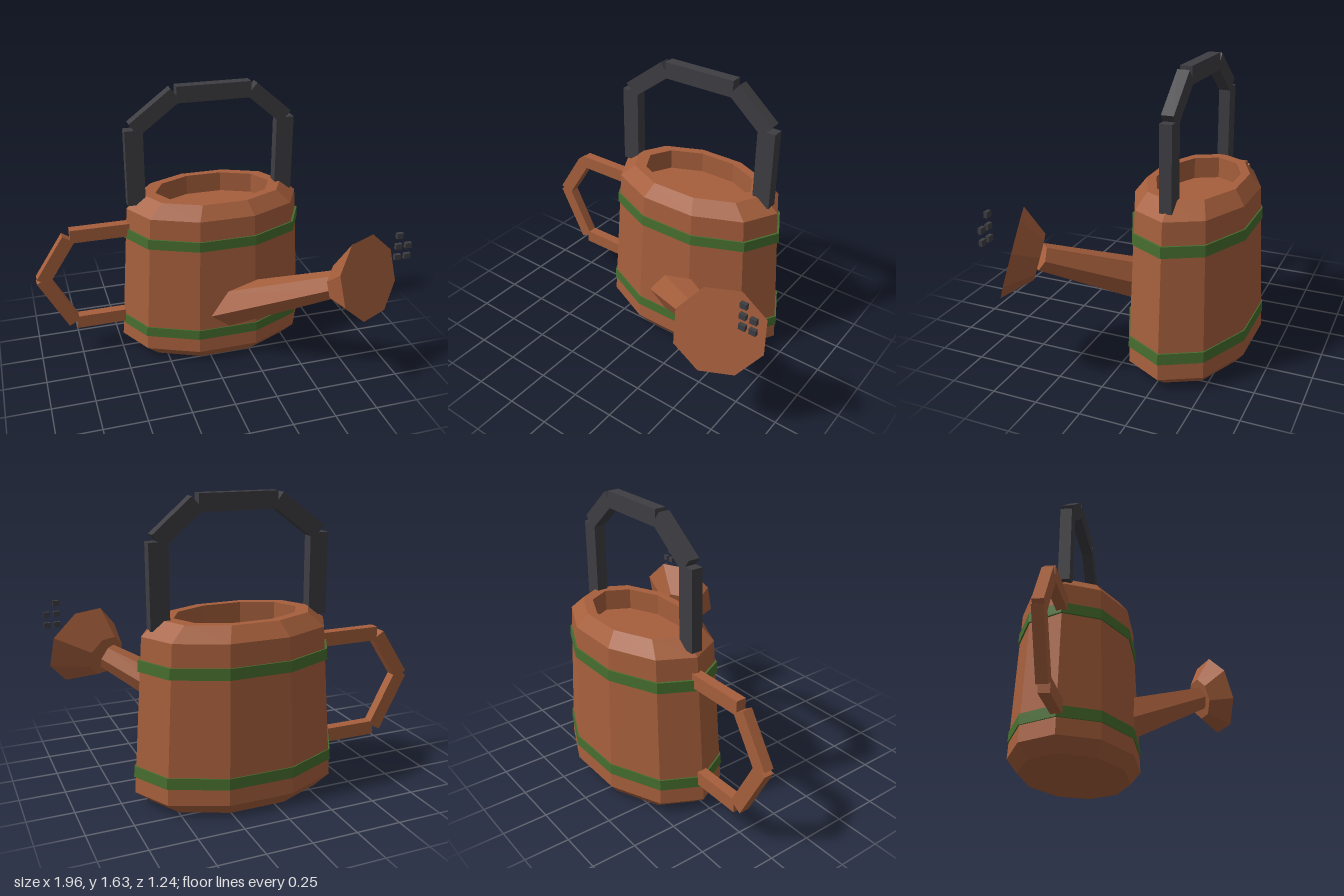
import * as THREE from 'three';

export function createModel() {
  const model = new THREE.Group();
  model.name = 'wateringCan';
  const paint = (name, color) => {
    const m = new THREE.MeshStandardMaterial({ color });
    m.name = name;
    return m;
  };
  const clay = paint('clay', 0xa65f3c);
  const green = paint('green', 0x466d2e);
  const iron = paint('iron', 0x3e3e43);

  // Faceted mesh from any geometry
  const add = (name, geometry, material, parent = model) => {
    const g = geometry.index ? geometry.toNonIndexed() : geometry;
    g.computeVertexNormals();
    const mesh = new THREE.Mesh(g, material);
    mesh.name = name;
    parent.add(mesh);
    return mesh;
  };
  const group = (name) => {
    const g = new THREE.Group();
    g.name = name;
    model.add(g);
    return g;
  };

  // Ten-sided oval turned shape
  const CX = 0.097, CZ = -0.285;
  const oval = (name, profile, material) => {
    const pts = profile.map(([r, y]) => new THREE.Vector2(r, y));
    const g = new THREE.LatheGeometry(pts, 10, Math.PI / 2);
    g.scale(1, 1, 0.61);
    g.translate(CX, 0, CZ);
    return add(name, g, material);
  };

  // Body with sloped shoulder and recessed opening
  oval('body', [[0, 0], [0.495, 0], [0.585, 0.07], [0.525, 0.922], [0.427, 1],
    [0.35, 1], [0.35, 0.88], [0, 0.88]], clay);

  // Painted bands
  const band = (name, y0, y1, r0, r1) =>
    oval(name, [[r0 - 0.03, y0], [r0, y0], [r1, y1], [r1 - 0.03, y1]], green);
  band('lowerBand', 0.16, 0.22, 0.588, 0.584);
  band('upperBand', 0.74, 0.8, 0.551, 0.547);

  // Bar between two points in the plane of the handles
  const bar = (name, x0, y0, x1, y1, thick, depth, material, parent) => {
    const g = new THREE.BoxGeometry(Math.hypot(x1 - x0, y1 - y0), thick, depth);
    g.rotateZ(Math.atan2(y1 - y0, x1 - x0));
    g.translate((x0 + x1) / 2, (y0 + y1) / 2, CZ);
    add(name, g, material, parent);
  };

  // Iron carrying handle
  const carry = group('carryHandle');
  [
    ['post', -0.371, 0.95, -0.371, 1.4, 0.105],
    ['post', 0.528, 0.95, 0.528, 1.4, 0.105],
    ['slope', -0.37, 1.402, -0.127, 1.585, 0.092],
    ['slope', 0.53, 1.402, 0.32, 1.582, 0.092],
    ['topBar', -0.123, 1.583, 0.313, 1.583, 0.094],
  ].forEach(([n, x0, y0, x1, y1, t]) => bar(n, x0, y0, x1, y1, t, 0.065, iron, carry));

  // Side grip
  const grip = group('sideHandle');
  [
    ['upperArm', -0.77, 0.795, -0.42, 0.795],
    ['upperSlope', -0.781, 0.782, -0.95, 0.522],
    ['lowerSlope', -0.783, 0.218, -0.95, 0.535],
    ['lowerArm', -0.77, 0.215, -0.47, 0.215],
  ].forEach(([n, x0, y0, x1, y1]) => bar(n, x0, y0, x1, y1, 0.08, 0.058, clay, grip));

  // Capped loft through rings of [centre, normal, radius]
  const loft = (rings, sides, turn) => {
    const pos = [], idx = [];
    rings.forEach(([c, n, r]) => {
      const axis = new THREE.Vector3(...n).normalize();
      const u = new THREE.Vector3(0, 1, 0).cross(axis).normalize();
      const v = axis.clone().cross(u);
      for (let i = 0; i < sides; i++) {
        const a = ((i + turn) / sides) * Math.PI * 2;
        const p = new THREE.Vector3(...c)
          .addScaledVector(u, r * Math.cos(a))
          .addScaledVector(v, r * Math.sin(a));
        pos.push(p.x, p.y, p.z);
      }
    });
    const last = (rings.length - 1) * sides;
    for (let i = 0; i < sides; i++) {
      const j = (i + 1) % sides;
      for (let k = 0; k < last; k += sides) {
        idx.push(k + i, k + j, k + sides + j, k + i, k + sides + j, k + sides + i);
      }
      if (i > 0 && i < sides - 1) idx.push(0, i + 1, i, last, last + i, last + i + 1);
    }
    const g = new THREE.BufferGeometry();
    g.setAttribute('position', new THREE.Float32BufferAttribute(pos, 3));
    g.setIndex(idx);
    return g;
  };

  // Tapered spout
  const along = [0.71, 0.41, 0.57];
  add('spout', loft([
    [[0.05, 0.29, -0.08], along, 0.135],
    [[0.64, 0.63, 0.4], along, 0.075],
  ], 6, 0), clay);

  // Flared sprinkler head
  const facing = [0.42, 0.28, 0.86];
  add('sprinklerHead', loft([
    [[0.645, 0.63, 0.4], facing, 0.125],
    [[0.76, 0.69, 0.49], facing, 0.242],
  ], 8, 0.5), clay);

  // Small dark pegs by the head
  const pegs = group('sprinklerPegs');
  [[0.9, 0.947], [0.9, 0.883], [0.957, 0.883], [0.9, 0.819], [0.957, 0.819]].forEach(([x, y]) => {
    const g = new THREE.BoxGeometry(0.037, 0.031, 0.02);
    g.translate(x, y, 0.522);
    add('peg', g, iron, pegs);
  });

  return model;
}
